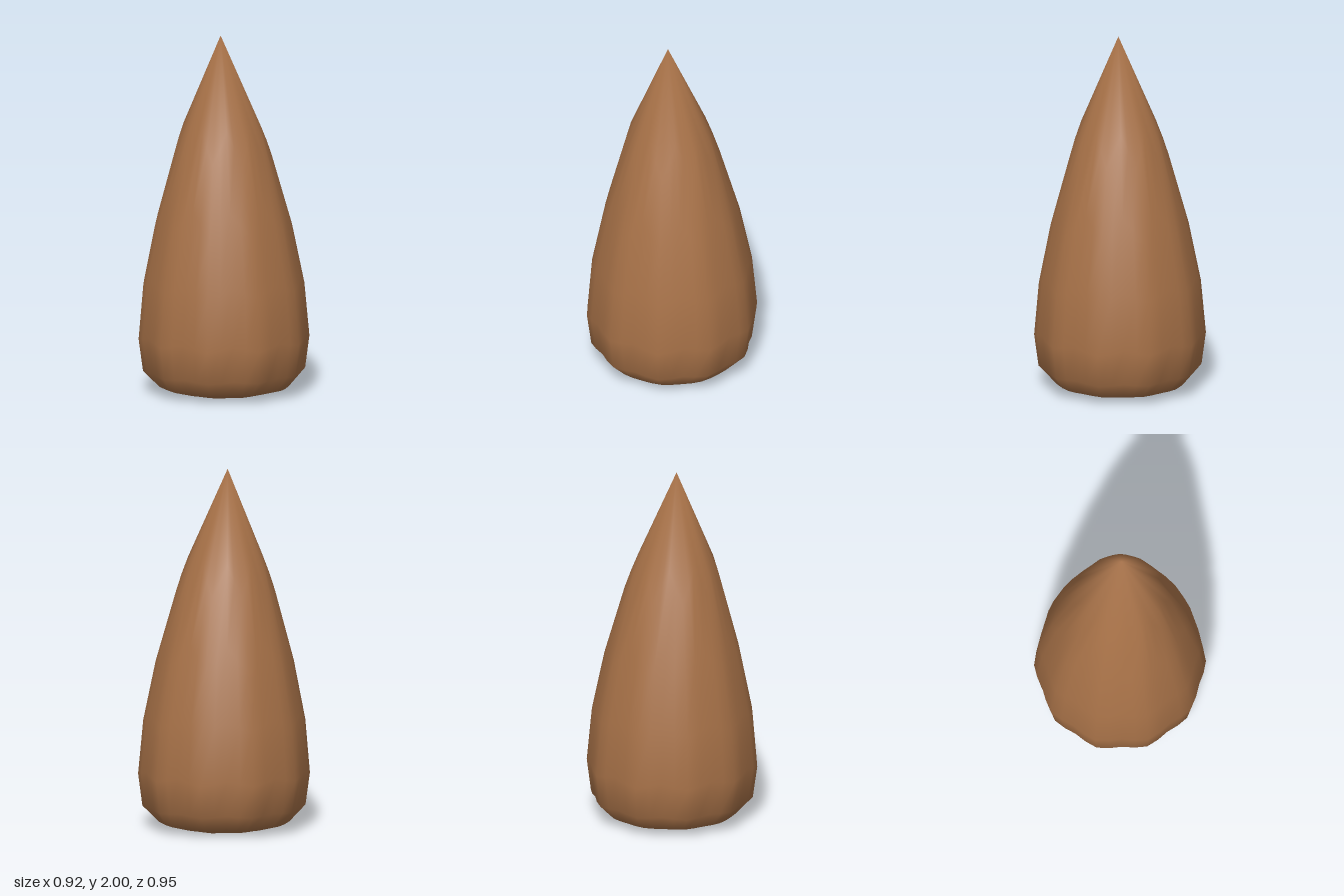
import * as THREE from 'three';

const LOBES = 10, SEGMENTS = 40;

// [radius, height] from base to shoulder, along a lobe crest and along a groove
const CREST = [[0.25, 0.004], [0.365, 0.035], [0.45, 0.12], [0.474, 0.3], [0.447, 0.6], [0.381, 0.93], [0.273, 1.32]];
const GROOVE = [[0.265, 0.01], [0.365, 0.04], [0.43, 0.13], [0.457, 0.33], [0.43, 0.65], [0.34, 1.06], [0.217, 1.5]];

function lobedCone() {
  const positions = [], index = [];
  const lean = (y) => 0.0065 * y * y; // tip bends slightly forward

  // Rings blend between crest and groove around the body
  CREST.forEach((crest, i) => {
    for (let s = 0; s < SEGMENTS; s++) {
      const a = (s / SEGMENTS) * Math.PI * 2;
      const t = (1 - Math.cos(a * LOBES)) / 2;
      const r = THREE.MathUtils.lerp(crest[0], GROOVE[i][0], t);
      const y = THREE.MathUtils.lerp(crest[1], GROOVE[i][1], t);
      positions.push(r * Math.sin(a), y, r * Math.cos(a) + lean(y));
    }
  });

  const rings = CREST.length;
  const base = rings * SEGMENTS, tip = base + 1;
  positions.push(0, 0, 0, 0, 2, lean(2));

  for (let s = 0; s < SEGMENTS; s++) {
    const n = (s + 1) % SEGMENTS;
    index.push(base, n, s); // underside
    for (let i = 0; i < rings - 1; i++) {
      const lo = i * SEGMENTS, hi = lo + SEGMENTS;
      index.push(lo + s, lo + n, hi + n, lo + s, hi + n, hi + s);
    }
    const top = (rings - 1) * SEGMENTS;
    index.push(top + s, top + n, tip); // pointed tip
  }

  const geometry = new THREE.BufferGeometry();
  geometry.setAttribute('position', new THREE.Float32BufferAttribute(positions, 3));
  geometry.setIndex(index);
  geometry.computeVertexNormals();
  return geometry;
}

export function createModel() {
  const group = new THREE.Group();
  group.name = 'lobedCone';
  const body = new THREE.Mesh(lobedCone(), new THREE.MeshStandardMaterial({ color: 0xa87248 }));
  body.name = 'body';
  group.add(body);
  return group;
}
